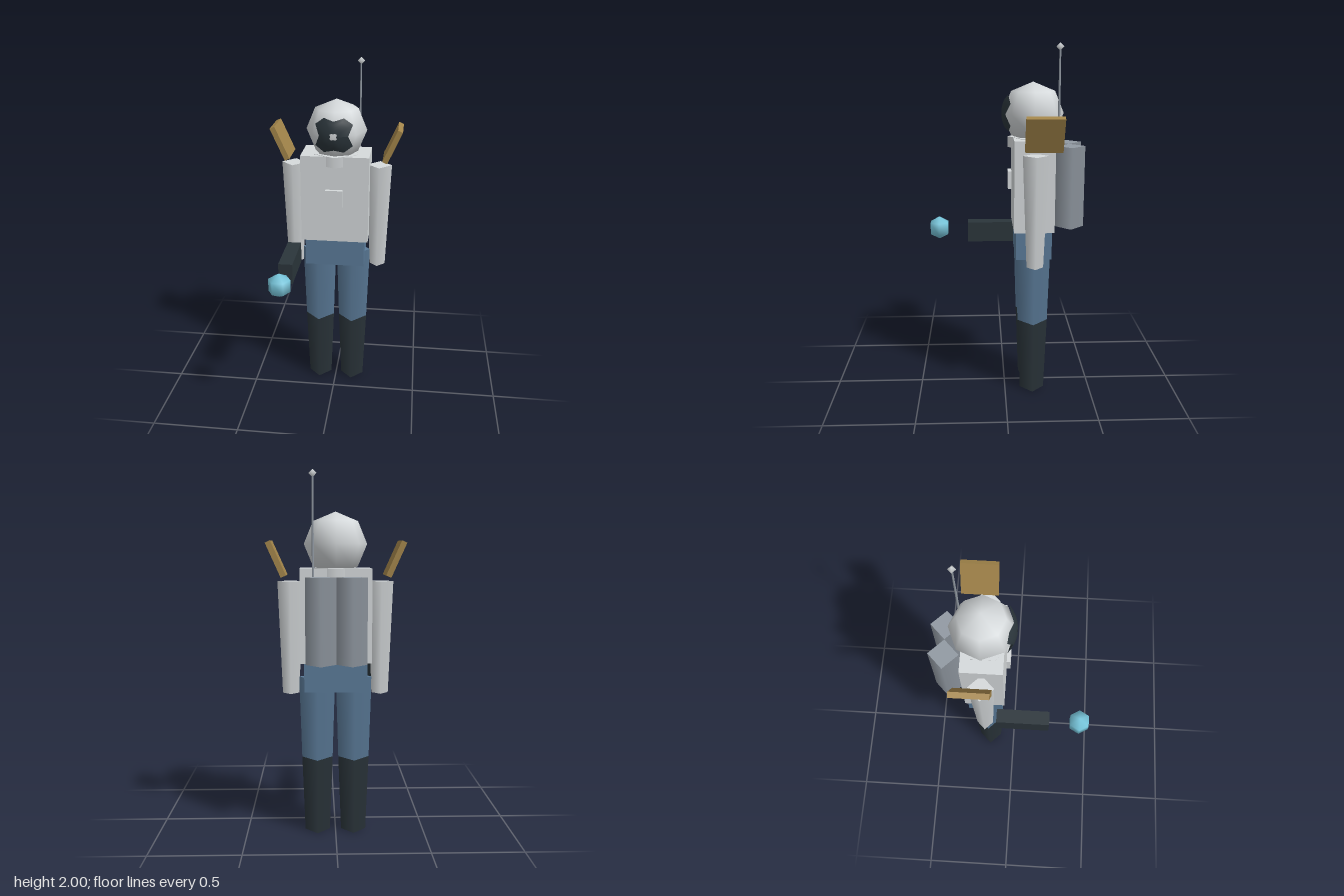
import * as THREE from 'three';

const mat = (name, color, side = THREE.FrontSide) => {
  const m = new THREE.MeshStandardMaterial({ color, side });
  m.name = name;
  return m;
};

export function createModel() {
  const model = new THREE.Group();
  model.name = 'astronaut';
  const white = mat('suit white', 0xd6dadc);
  const blue = mat('trouser blue', 0x5b7b99);
  const dark = mat('dark slate', 0x2b353b, THREE.DoubleSide);
  const grey = mat('tank grey', 0x929aa3);
  const brass = mat('panel brass', 0xa3854a);
  const cyan = mat('glow cyan', 0x78c8de);
  const Z = -0.16; // depth of the body's axis

  const add = (name, geometry, material, x, y, z) => {
    const mesh = new THREE.Mesh(geometry, material);
    mesh.name = name;
    mesh.position.set(x, y, z);
    model.add(mesh);
    return mesh;
  };
  const box = (name, w, h, d, material, x, y, z) =>
    add(name, new THREE.BoxGeometry(w, h, d), material, x, y, z);
  // upright tapered prism between two heights
  const post = (name, rTop, rBottom, y0, y1, sides, material, x, z) =>
    add(name, new THREE.CylinderGeometry(rTop, rBottom, y1 - y0, sides), material, x, (y0 + y1) / 2, z);

  // body
  box('torso', 0.388, 0.51, 0.224, white, 0, 1.235, Z);
  box('pelvis', 0.344, 0.16, 0.2, blue, 0, 0.9, Z);
  box('chestUnit', 0.1, 0.1, 0.02, white, 0, 1.25, -0.03);
  post('collar', 0.14, 0.14, 1.432, 1.492, 6, white, 0, Z);

  // paired parts
  for (const [side, s] of [['left', 1], ['right', -1]]) {
    post(side + 'Leg', 0.1, 0.086, 0.43, 0.89, 4, blue, s * 0.102, Z);
    post(side + 'Boot', 0.086, 0.07, 0, 0.43, 4, dark, s * 0.102, Z);
    post(side + 'Arm', 0.07, 0.046, 0.8, 1.42, 4, white, s * 0.247, Z);
    post(side + 'Tank', 0.081, 0.081, 0.99, 1.447, 4, grey, s * 0.082, -0.365);
    box(side + 'ShoulderPanel', 0.03, 0.2, 0.2, brass, s * 0.318, 1.54, -0.2).rotation.z = -s * 0.42;
  }

  // helmet
  const headY = 1.62;
  add('helmet', new THREE.SphereGeometry(0.172, 8, 4), white, 0, headY, Z);

  // visor: a ring stretched to a notched outline and wrapped round the helmet
  const visor = new THREE.RingGeometry(0.2, 1, 12, 4);
  const reach = [0.08, 0.119, 0.11, 0.08, 0.11, 0.119];
  const p = visor.attributes.position;
  for (let i = 0; i < p.count; i++) {
    const r = reach[(i % 13) % 6];
    const x = p.getX(i) * r, y = p.getY(i) * r;
    p.setXYZ(i, x, y, Math.sqrt(0.176 ** 2 - x * x - y * y));
  }
  visor.computeVertexNormals();
  add('visor', visor, dark, 0, headY, Z);

  // antenna
  post('antennaRod', 0.005, 0.007, 1.43, 1.97, 6, grey, 0.122, -0.292);
  add('antennaTip', new THREE.SphereGeometry(0.021, 4, 2), white, 0.122, 1.979, -0.292);

  // hand tool and its glowing orb
  box('handTool', 0.08, 0.12, 0.304, dark, -0.245, 0.88, 0.062);
  add('orb', new THREE.SphereGeometry(0.07, 6, 3), cyan, -0.245, 0.9, 0.388);

  return model;
}
